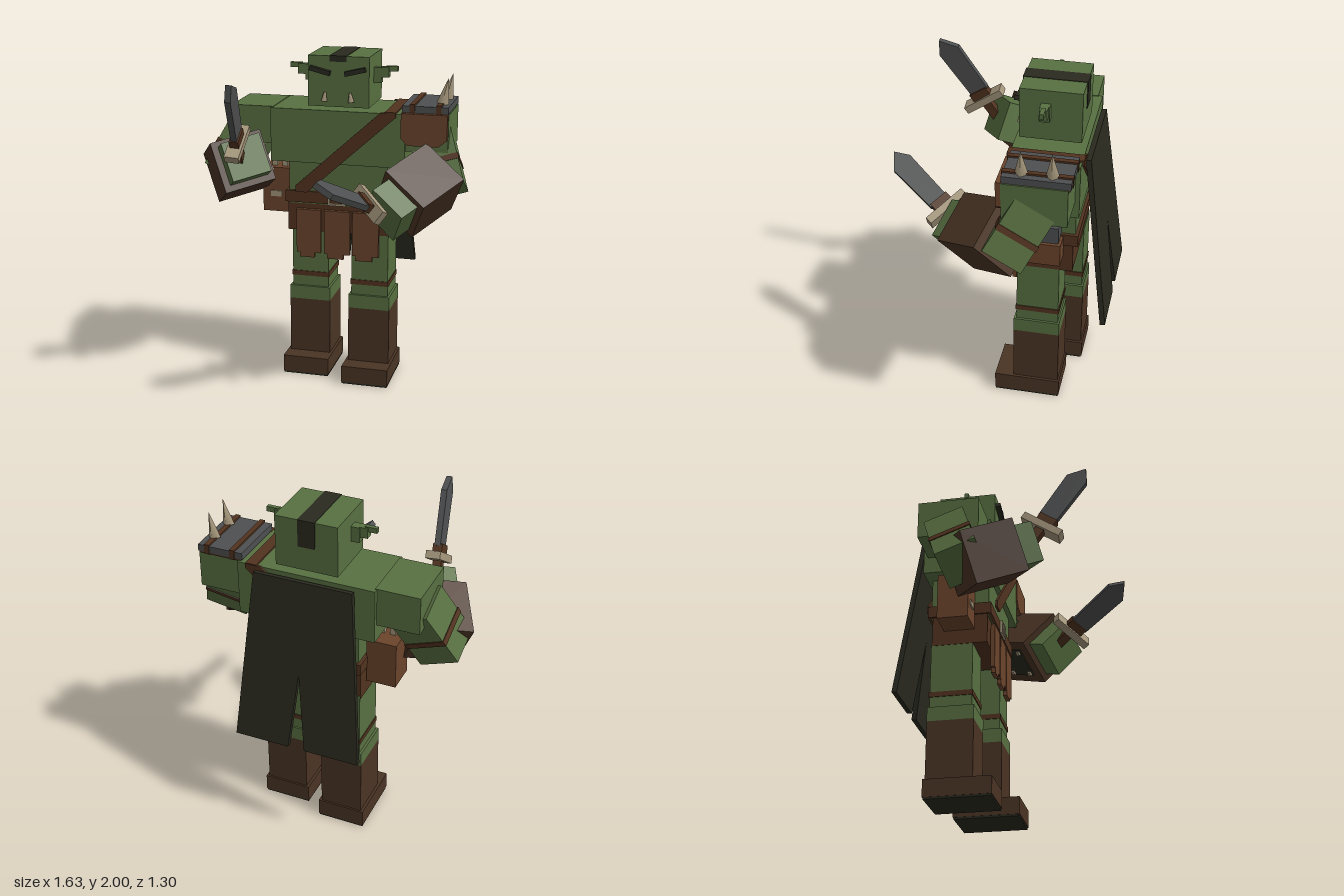
import * as THREE from 'three';

const mat = (name, color) => Object.assign(new THREE.MeshStandardMaterial({ color }), { name });
const V = (a) => new THREE.Vector3(...a);

export function createModel() {
  const skin = mat('green skin', 0x587041);
  const leather = mat('dark leather', 0x4a3424);
  const strapMat = mat('strap brown', 0x52331f);
  const hide = mat('red brown hide', 0x6c452c);
  const black = mat('black cloth', 0x2a2a20);
  const steel = mat('steel', 0x4e4f50);
  const bone = mat('bone', 0xa3957a);
  const model = new THREE.Group();
  model.name = 'warrior';

  const add = (parent, name, geo, material, pos = [0, 0, 0]) => {
    const m = new THREE.Mesh(geo, material);
    m.name = name;
    m.position.set(...pos);
    parent.add(m);
    return m;
  };
  // box given by its size and centre
  const block = (parent, name, material, size, pos) =>
    add(parent, name, new THREE.BoxGeometry(...size), material, pos);
  // box given by its limits on each axis
  const span = (name, material, x0, x1, y0, y1, z0, z1, parent = model) =>
    block(parent, name, material, [x1 - x0, y1 - y0, z1 - z0], [(x0 + x1) / 2, (y0 + y1) / 2, (z0 + z1) / 2]);
  // turns an object so its y follows one direction and its x stays near another
  const orient = (obj, pos, yDir, xHint) => {
    const y = V(yDir).normalize();
    const z = V(xHint).cross(y).normalize();
    const x = y.clone().cross(z);
    obj.quaternion.setFromRotationMatrix(new THREE.Matrix4().makeBasis(x, y, z));
    obj.position.set(...pos);
    return obj;
  };
  const group = (name) => {
    const g = new THREE.Group();
    g.name = name;
    model.add(g);
    return g;
  };
  // flat outline with thickness, centred on its own z
  const plate = (points, depth) => {
    const s = new THREE.Shape(points.map((p) => new THREE.Vector2(...p)));
    return new THREE.ExtrudeGeometry(s, { depth, bevelEnabled: false }).translate(0, 0, -depth / 2);
  };
  const cx = 0.05; // middle of the body

  // Legs, the left one a step ahead
  for (const [side, x, dz] of [['left', 0.245, 0], ['right', -0.145, -0.08]]) {
    const leg = group(side + 'Leg');
    const part = (name, m, w, y0, y1, z0, z1) => span(name, m, x - w / 2, x + w / 2, y0, y1, z0 + dz, z1 + dz, leg);
    part('sole', black, 0.28, 0, 0.015, -0.38, 0);
    part('foot', leather, 0.285, 0.012, 0.115, -0.385, 0.005);
    part('boot', leather, 0.253, 0.115, 0.46, -0.375, -0.105);
    part('knee', skin, 0.253, 0.46, 0.545, -0.375, -0.105);
    part('thigh', skin, 0.225, 0.545, 0.95, -0.365, -0.12);
    part('thighBand', strapMat, 0.235, 0.61, 0.64, -0.37, -0.115);
  }

  // Body
  span('hips', strapMat, -0.26, 0.36, 0.93, 1.12, -0.44, -0.115);
  span('waist', skin, -0.25, 0.35, 1.1, 1.37, -0.45, -0.11);
  span('chest', skin, -0.355, 0.455, 1.36, 1.68, -0.48, -0.08);
  span('neck', skin, -0.03, 0.13, 1.66, 1.72, -0.36, -0.2);
  span('belt', strapMat, -0.27, 0.37, 1.11, 1.18, -0.468, -0.092);

  // Buckle frame
  const frame = new THREE.Shape([[-0.055, -0.04], [0.055, -0.04], [0.055, 0.04], [-0.055, 0.04]].map((p) => new THREE.Vector2(...p)));
  frame.holes.push(new THREE.Path([[-0.043, -0.028], [-0.043, 0.028], [0.043, 0.028], [0.043, -0.028]].map((p) => new THREE.Vector2(...p))));
  add(model, 'buckle', new THREE.ExtrudeGeometry(frame, { depth: 0.015, bevelEnabled: false }), bone, [cx, 1.145, -0.092]);
  block(model, 'bucklePin', bone, [0.1, 0.012, 0.012], [cx, 1.145, -0.085]);

  // Hide skirt with ragged hems
  for (const [x, w, hem] of [[-0.125, 0.15, 0.77], [cx, 0.16, 0.77], [0.225, 0.16, 0.77]]) {
    const a = w / 2, top = 1.07;
    const pts = [[-a, hem + 0.03], [-a + 0.02, hem + 0.03], [-a + 0.02, hem], [a - 0.04, hem],
      [a - 0.04, hem + 0.03], [a, hem + 0.03], [a, top], [-a, top]];
    add(model, 'skirtPanel', plate(pts, 0.025), hide, [x, 0, -0.095]);
  }

  // Strap slung across chest and back
  const slant = [[0.31, 1.685], [-0.2, 1.22], [-0.2, 1.18], [-0.13, 1.18], [0.4, 1.66], [0.4, 1.685]];
  add(model, 'strapFront', plate(slant, 0.014), strapMat, [0, 0, -0.075]);
  add(model, 'strapBack', plate(slant, 0.014), strapMat, [0, 0, -0.486]);
  span('strapTop', strapMat, 0.335, 0.4, 1.675, 1.69, -0.49, -0.07);

  // Split cape sloping away from the back
  const cape = add(model, 'cape', plate([[-0.29, 0], [-0.38, -1.04], [-0.05, -1.04], [0, -0.56],
    [0.05, -1.04], [0.38, -1.04], [0.29, 0]].reverse(), 0.03), black, [cx, 1.66, -0.505]);
  cape.rotation.x = 0.125;

  // Head
  span('head', skin, -0.13, 0.235, 1.7, 1.997, -0.45, -0.103);
  span('hairTop', black, 0, 0.1, 1.99, 2, -0.455, -0.097);
  span('hairBack', black, 0, 0.1, 1.84, 2, -0.455, -0.448);
  span('hairFront', black, 0, 0.1, 1.965, 2, -0.104, -0.097);
  for (const s of [-1, 1]) {
    const face = group(s > 0 ? 'leftFace' : 'rightFace');
    face.position.x = cx;
    const brow = block(face, 'brow', black, [0.125, 0.027, 0.03], [s * 0.105, 1.912, -0.088]);
    brow.rotation.z = s * 0.24;
    const tusk = add(face, 'tusk', new THREE.CylinderGeometry(0.007, 0.019, 0.055, 4), bone, [s * 0.078, 1.76, -0.092]);
    tusk.rotation.z = s * 0.12;
    // stepped ear
    block(face, 'earBase', skin, [0.05, 0.09, 0.055], [s * 0.205, 1.875, -0.25]);
    block(face, 'earMiddle', skin, [0.05, 0.06, 0.045], [s * 0.25, 1.893, -0.25]);
    block(face, 'earTip', skin, [0.07, 0.03, 0.025], [s * 0.29, 1.914, -0.25]);
  }

  // Arms: shoulder, upper arm, gauntlet and fist, each turned to its pose
  const arm = (side, shoulderX, upper, upperDir, centre, axis, inner) => {
    const shoulder = span(side + 'Shoulder', skin, shoulderX - 0.128, shoulderX + 0.128, 1.46, 1.684, -0.455, -0.1);
    shoulder.name = side + 'Shoulder';
    const up = orient(group(side + 'UpperArm'), upper, upperDir, [1, 0, 0]);
    block(up, 'upperArm', skin, [0.25, 0.36, 0.24], [0, 0, 0]);
    block(up, 'armBand', strapMat, [0.26, 0.035, 0.25], [0, -0.02, 0]);
    const fore = orient(group(side + 'Forearm'), centre, axis, inner);
    block(fore, 'gauntlet', leather, [0.31, 0.33, 0.31], [0, 0, 0]);
    block(fore, 'fist', skin, [0.235, 0.15, 0.235], [0, 0.215, 0]);
    block(fore, 'guardPlate', black, [0.012, 0.2, 0.2], [0.158, 0, 0]);
    for (const y of [-0.08, 0.08]) for (const z of [-0.08, 0.08])
      block(fore, 'stud', bone, [0.02, 0.025, 0.025], [0.168, y, z]);
  };
  arm('left', 0.575, [0.635, 1.38, -0.19], [-0.32, 0.82, -0.46], [0.56, 1.26, 0.005], [-0.565, -0.348, 0.753], [-0.34, -0.77, -0.54]);
  arm('right', -0.473, [-0.585, 1.38, -0.23], [0.42, 0.83, -0.3], [-0.553, 1.315, -0.07], [0.426, 0.406, 0.803], [0.812, 0.208, -0.536]);

  // Daggers: y runs to the point, x across the blade
  const dagger = (name, pos, dir, across) => {
    const d = orient(group(name), pos, dir, across);
    block(d, 'grip', strapMat, [0.055, 0.2, 0.05], [0, -0.1, 0]);
    block(d, 'crossguard', bone, [0.26, 0.045, 0.085], [0, 0, 0]);
    block(d, 'collar', strapMat, [0.115, 0.055, 0.055], [0, 0.045, 0]);
    add(d, 'blade', plate([[-0.05, 0.06], [0.065, 0.06], [0.075, 0.375], [0, 0.465], [-0.055, 0.385]], 0.035), steel);
  };
  dagger('leftDagger', [0.33, 1.24, 0.29], [-0.22, 0.19, 0.36], [0.2, -0.13, 0.165]);
  dagger('rightDagger', [-0.455, 1.53, 0.245], [0.045, 0.39, 0.26], [0, 0.55, -0.83]);

  // Left shoulder armour
  span('shoulderPlate', steel, 0.43, 0.7, 1.688, 1.728, -0.47, -0.1);
  span('shoulderPad', strapMat, 0.44, 0.695, 1.676, 1.69, -0.465, -0.1);
  for (const x of [0.49, 0.645]) span('plateStrap', strapMat, x - 0.015, x + 0.015, 1.68, 1.738, -0.475, -0.095);
  add(model, 'shoulderFlap', plate([[0.43, 1.54], [0.47, 1.5], [0.65, 1.5], [0.7, 1.54], [0.7, 1.688], [0.43, 1.688]], 0.035), hide, [0, 0, -0.088]);
  for (const z of [-0.2, -0.365]) {
    const spike = add(model, 'shoulderSpike', new THREE.ConeGeometry(0.038, 0.155, 4), bone, [0.665, 1.805, z]);
    spike.rotation.z = -0.2;
  }

  // Hip pouches
  span('rightPouch', hide, -0.44, -0.265, 1.015, 1.29, -0.37, -0.19);
  span('pouchClasp', bone, -0.39, -0.32, 1.11, 1.145, -0.19, -0.182);
  for (const x of [-0.38, -0.315]) span('scroll', bone, x - 0.016, x + 0.016, 1.28, 1.36, -0.27, -0.238);
  span('leftPouch', hide, 0.35, 0.47, 1.035, 1.17, -0.385, -0.2);
  span('flask', steel, 0.345, 0.45, 1.17, 1.27, -0.37, -0.2);

  return model;
}
